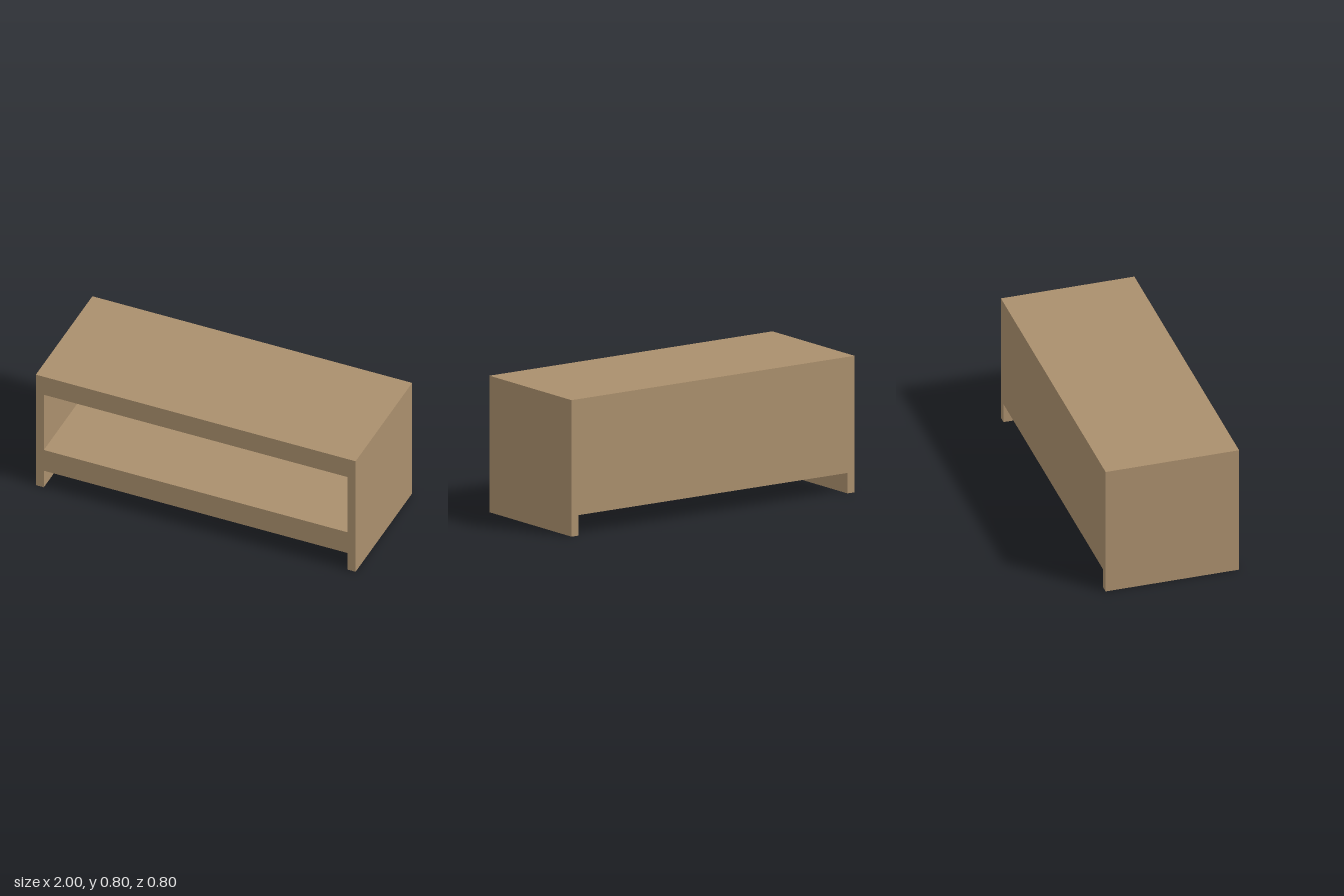
import * as THREE from 'three';

const W = 1, H = 0.8, D = 0.4;      // half width, height, half depth
const PANEL = 0.05;                 // side and back board thickness
const BASE = 0.12, SHELF = 0.27, CEILING = 0.67;

// Front outline: a box with a side board reaching the floor at each end
function outline() {
  const inner = W - PANEL;
  return new THREE.Shape([
    [-W, 0], [-inner, 0], [-inner, BASE], [inner, BASE],
    [inner, 0], [W, 0], [W, H], [-W, H],
  ].map(([x, y]) => new THREE.Vector2(x, y)));
}

function board(name, shape, z0, z1, material) {
  const geometry = new THREE.ExtrudeGeometry(shape, { depth: z1 - z0, bevelEnabled: false });
  geometry.translate(0, 0, z0);
  const mesh = new THREE.Mesh(geometry, material);
  mesh.name = name;
  return mesh;
}

export function createModel() {
  const wood = new THREE.MeshStandardMaterial({ color: 0xaa8f6d });
  wood.name = 'light wood';

  const group = new THREE.Group();
  group.name = 'lowOpenCabinet';

  // Carcass with the open compartment cut through it
  const carcass = outline();
  const inner = W - PANEL;
  carcass.holes.push(new THREE.Path([
    [-inner, SHELF], [-inner, CEILING], [inner, CEILING], [inner, SHELF],
  ].map(([x, y]) => new THREE.Vector2(x, y))));
  group.add(board('carcass', carcass, -D + PANEL, D, wood));

  // Closed back, continuing the same outline
  group.add(board('backPanel', outline(), -D, -D + PANEL, wood));

  return group;
}
